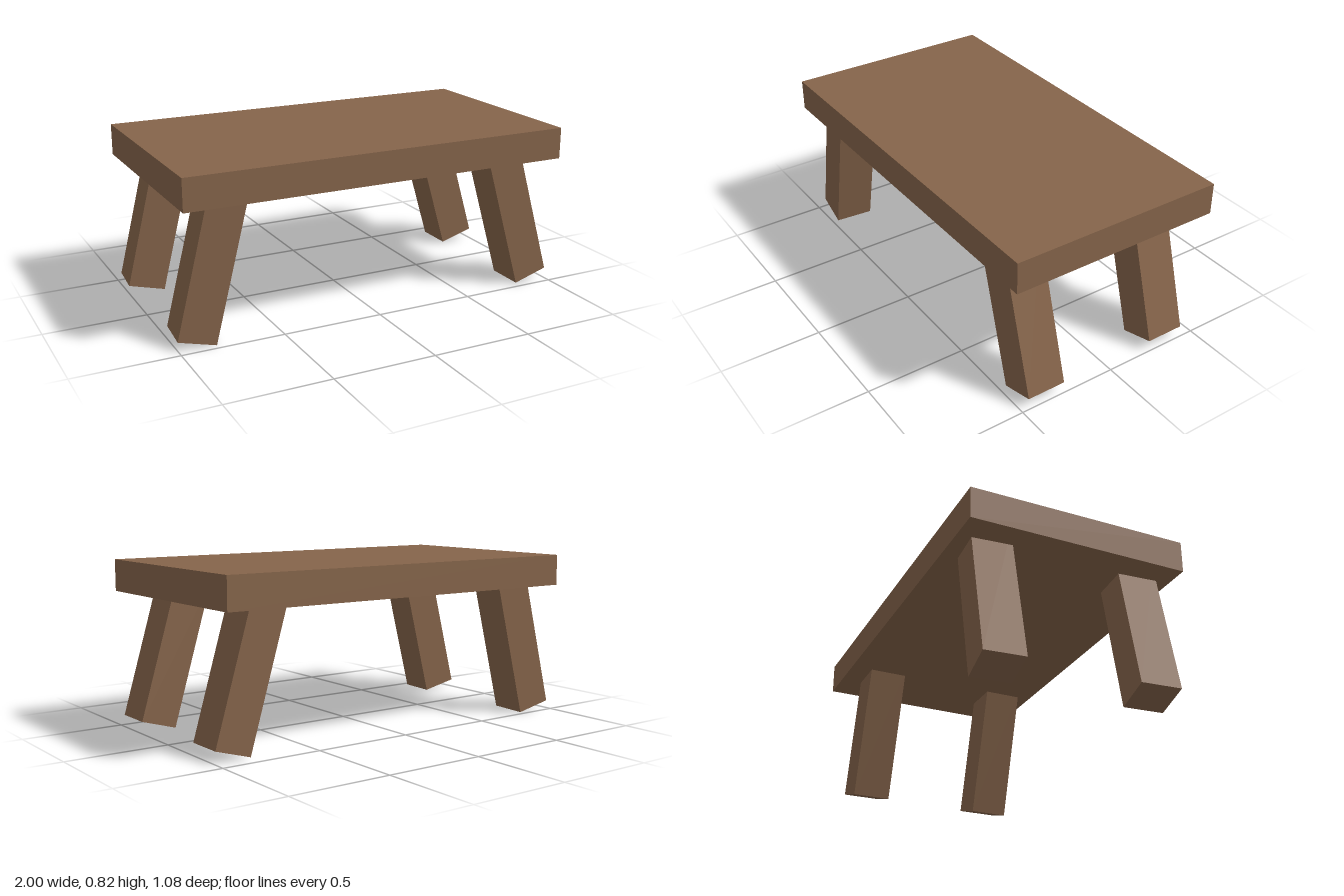
import * as THREE from 'three';

export function createModel() {
  const group = new THREE.Group();
  group.name = 'table';
  const wood = new THREE.MeshStandardMaterial({ color: 0x85644a });
  wood.name = 'brown wood';

  // Thick slab top
  const top = new THREE.Mesh(new THREE.BoxGeometry(1.965, 0.155, 1.075), wood);
  top.name = 'tableTop';
  top.position.set(0.0075, 0.7425, -0.0025);
  group.add(top);

  // Splayed legs, with the pivot at the centre of the foot and the upper end sunk in the top
  const legGeometry = new THREE.BoxGeometry(0.184, 0.735, 0.195).translate(0, 0.3675, 0);
  const addLeg = (name, x, y, z, lean, yaw) => {
    const leg = new THREE.Mesh(legGeometry, wood);
    leg.name = name;
    leg.position.set(x, y, z);
    leg.rotation.set(0, yaw, lean, 'YXZ');
    group.add(leg);
  };
  addLeg('frontLeftLeg', 0.9075, 0.031, 0.3675, 0.29, 0);
  addLeg('backLeftLeg', 0.9075, 0.031, -0.3325, 0.29, 0);
  addLeg('frontRightLeg', -0.903, 0.022, 0.366, -0.239, -0.08);
  addLeg('backRightLeg', -0.903, 0.022, -0.38, -0.239, -0.08);

  return group;
}
